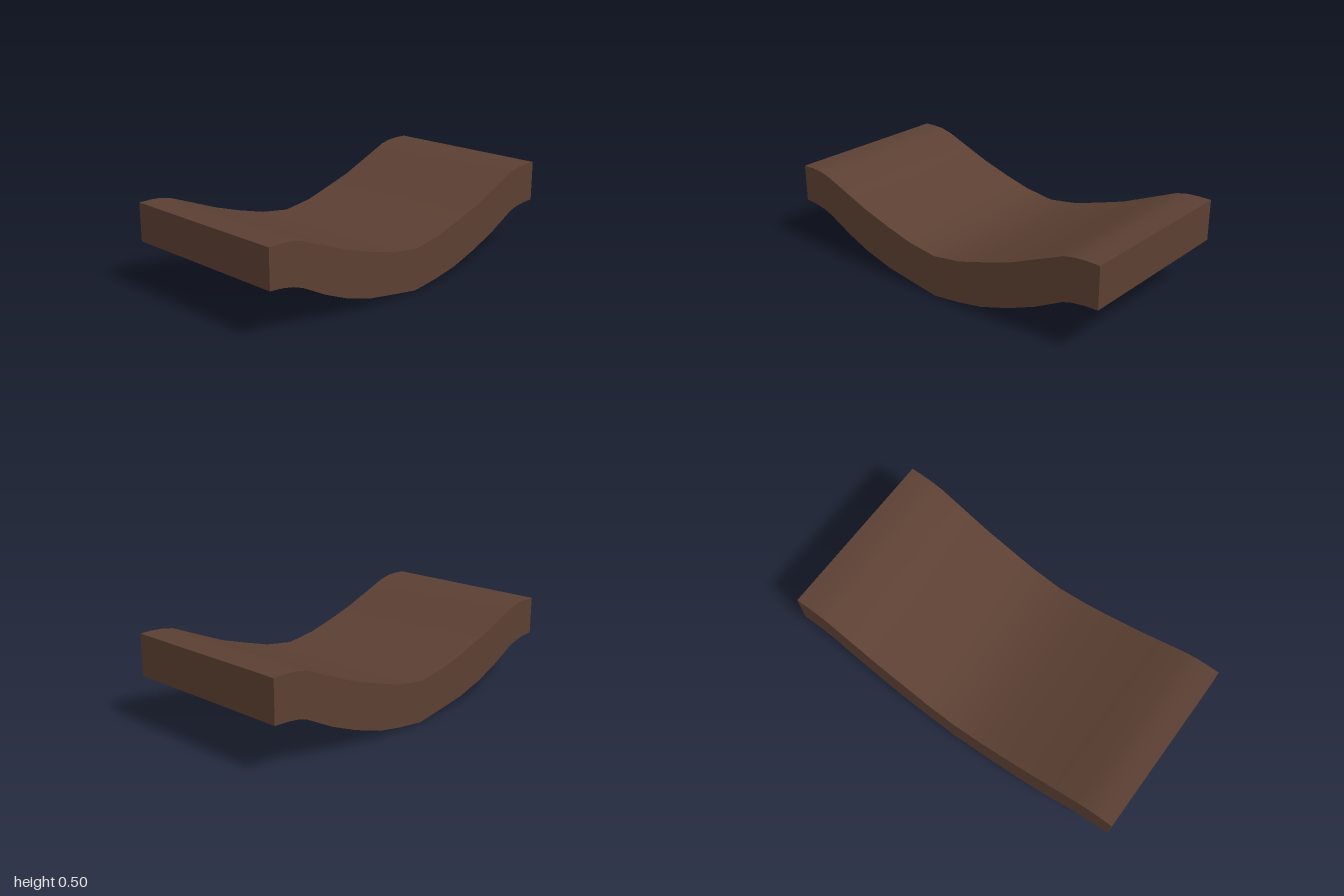
import * as THREE from 'three';
import { toCreasedNormals } from 'three/addons/utils/BufferGeometryUtils.js';

const WIDTH = 0.98;

// Side profile as [z, y], front to back
const TOP = [
  [1, 0.48], [0.93, 0.481], [0.87, 0.477], [0.8, 0.46], [0.66, 0.405], [0.52, 0.35],
  [0.35, 0.296], [0.19, 0.253], [0.015, 0.228], [-0.16, 0.253], [-0.32, 0.3],
  [-0.48, 0.35], [-0.64, 0.417], [-0.8, 0.485], [-0.86, 0.497], [-0.93, 0.501], [-1, 0.5],
];
const BOTTOM = [
  [1, 0.275], [0.92, 0.268], [0.86, 0.256], [0.8, 0.235], [0.66, 0.162], [0.52, 0.103],
  [0.35, 0.053], [0.19, 0.027], [0.015, 0], [-0.15, 0.019], [-0.3, 0.046],
  [-0.48, 0.103], [-0.64, 0.168], [-0.8, 0.25], [-0.86, 0.267], [-0.93, 0.275], [-1, 0.277],
];

export function createModel() {
  const group = new THREE.Group();
  group.name = 'curvedSlab';

  // Sagging slab: the closed profile swept across the width
  const outline = [...BOTTOM, ...[...TOP].reverse()];
  const shape = new THREE.Shape(outline.map(([z, y]) => new THREE.Vector2(-z, y)));
  const swept = new THREE.ExtrudeGeometry(shape, { depth: WIDTH, bevelEnabled: false });
  swept.translate(0, 0, -WIDTH / 2);
  swept.rotateY(Math.PI / 2);

  // Smooth along the curve, sharp at the borders
  const slab = new THREE.Mesh(
    toCreasedNormals(swept, 0.6),
    new THREE.MeshStandardMaterial({ color: 0x5c4033 }),
  );
  slab.name = 'slab';
  group.add(slab);
  return group;
}
